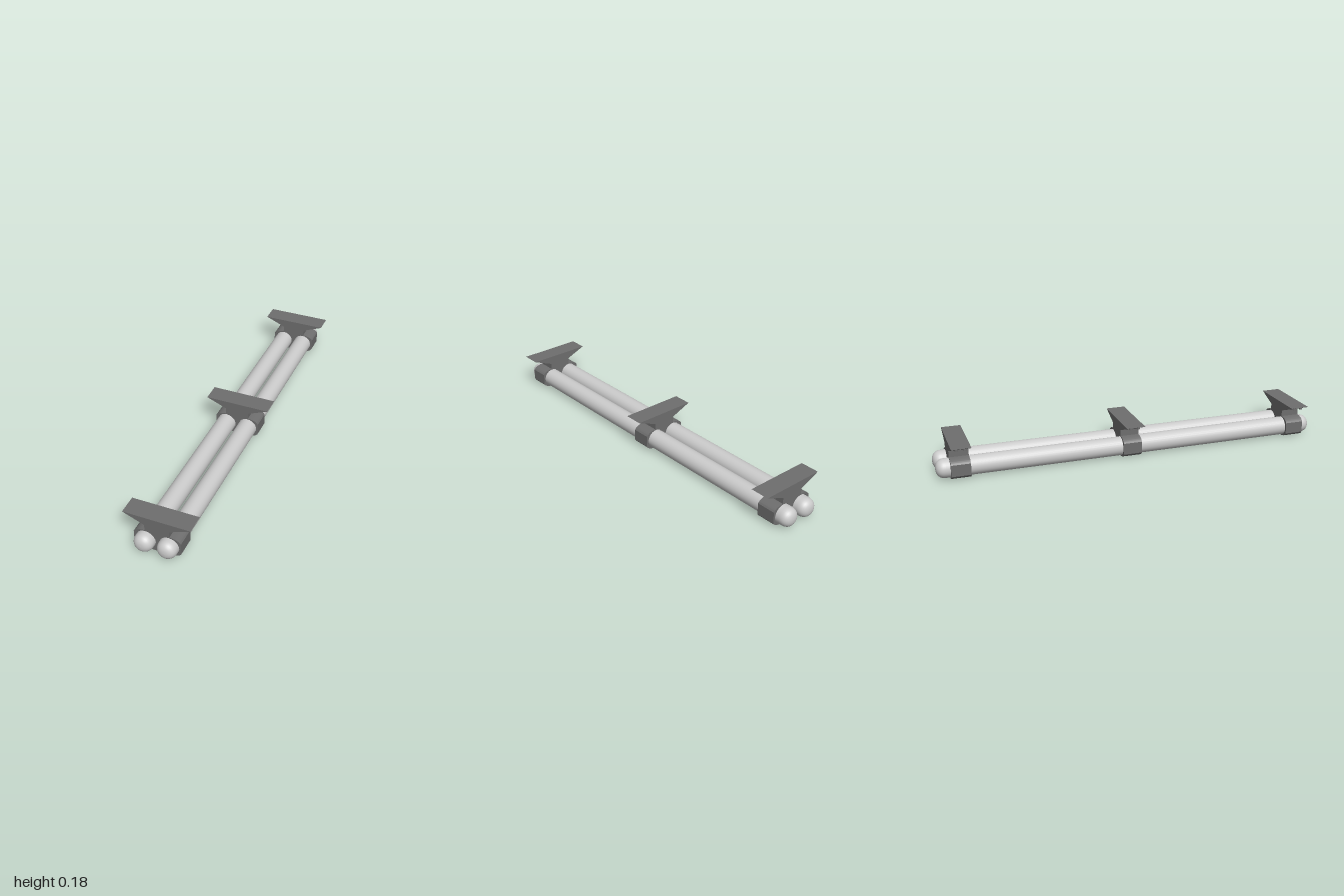
import * as THREE from 'three';
import { toCreasedNormals } from 'three/addons/utils/BufferGeometryUtils.js';

const RADIUS = 0.048, TUBE_X = 0.057, TUBE_Y = 0.052, DEPTH = 0.096;

const tubeMat = new THREE.MeshStandardMaterial({ color: 0xcccccc });
const bracketMat = new THREE.MeshStandardMaterial({ color: 0x6e6e6e });

function add(parent, name, geometry, material, x = 0, y = 0, z = 0) {
  const mesh = new THREE.Mesh(geometry, material);
  mesh.name = name;
  mesh.position.set(x, y, z);
  parent.add(mesh);
  return mesh;
}

// Round bar with softly domed ends, lathed around its length
function tubeGeometry() {
  const cap = 0.046, steps = 8, end = [];
  for (let i = 0; i <= steps; i++) {
    const a = (i / steps) * Math.PI / 2;
    end.push(new THREE.Vector2(
      i === steps ? 0 : RADIUS * Math.pow(Math.cos(a), 0.85),
      1 - cap + cap * Math.pow(Math.sin(a), 0.85)));
  }
  const start = end.map(p => new THREE.Vector2(p.x, -p.y)).reverse();
  return new THREE.LatheGeometry([...start, ...end], 32).rotateX(Math.PI / 2);
}

// Clamp body, neck and flared mounting plate in one profile, bored for both tubes
function bracketGeometry() {
  const s = new THREE.Shape();
  s.moveTo(-0.06, 0);
  s.lineTo(0.06, 0);
  s.bezierCurveTo(0.088, 0.001, 0.108, 0.01, 0.115, 0.024);
  s.lineTo(0.115, 0.082);
  s.bezierCurveTo(0.108, 0.096, 0.088, 0.105, 0.06, 0.105);
  s.lineTo(0.06, 0.137);
  s.lineTo(0.165, 0.18);
  s.lineTo(-0.165, 0.18);
  s.lineTo(-0.06, 0.137);
  s.lineTo(-0.06, 0.105);
  s.bezierCurveTo(-0.088, 0.105, -0.108, 0.096, -0.115, 0.082);
  s.lineTo(-0.115, 0.024);
  s.bezierCurveTo(-0.108, 0.01, -0.088, 0.001, -0.06, 0);
  for (const side of [-1, 1]) {
    s.holes.push(new THREE.Path().absarc(side * TUBE_X, TUBE_Y, RADIUS + 0.001, 0, Math.PI * 2, true));
  }
  const g = new THREE.ExtrudeGeometry(s, { depth: DEPTH, bevelEnabled: false, curveSegments: 12 });
  return toCreasedNormals(g.translate(0, 0, -DEPTH / 2), 0.5);
}

export function createModel() {
  const model = new THREE.Group();
  model.name = 'twinTubeRail';

  // Twin tubes
  const tube = tubeGeometry();
  add(model, 'leftTube', tube, tubeMat, TUBE_X, TUBE_Y);
  add(model, 'rightTube', tube, tubeMat, -TUBE_X, TUBE_Y);

  // Brackets, each with two bolts under either wing
  const body = bracketGeometry();
  const bolt = toCreasedNormals(new THREE.CylinderGeometry(0.008, 0.008, 0.014, 12), 0.7);
  for (const [name, z] of [['front', 0.897], ['middle', -0.02], ['back', -0.885]]) {
    const bracket = new THREE.Group();
    bracket.name = name + 'Bracket';
    bracket.position.z = z;
    add(bracket, 'clamp', body, bracketMat);
    for (const x of [-0.137, 0.137])
      for (const dz of [-0.02, 0.02]) add(bracket, 'bolt', bolt, bracketMat, x, 0.169, dz);
    model.add(bracket);
  }
  return model;
}
